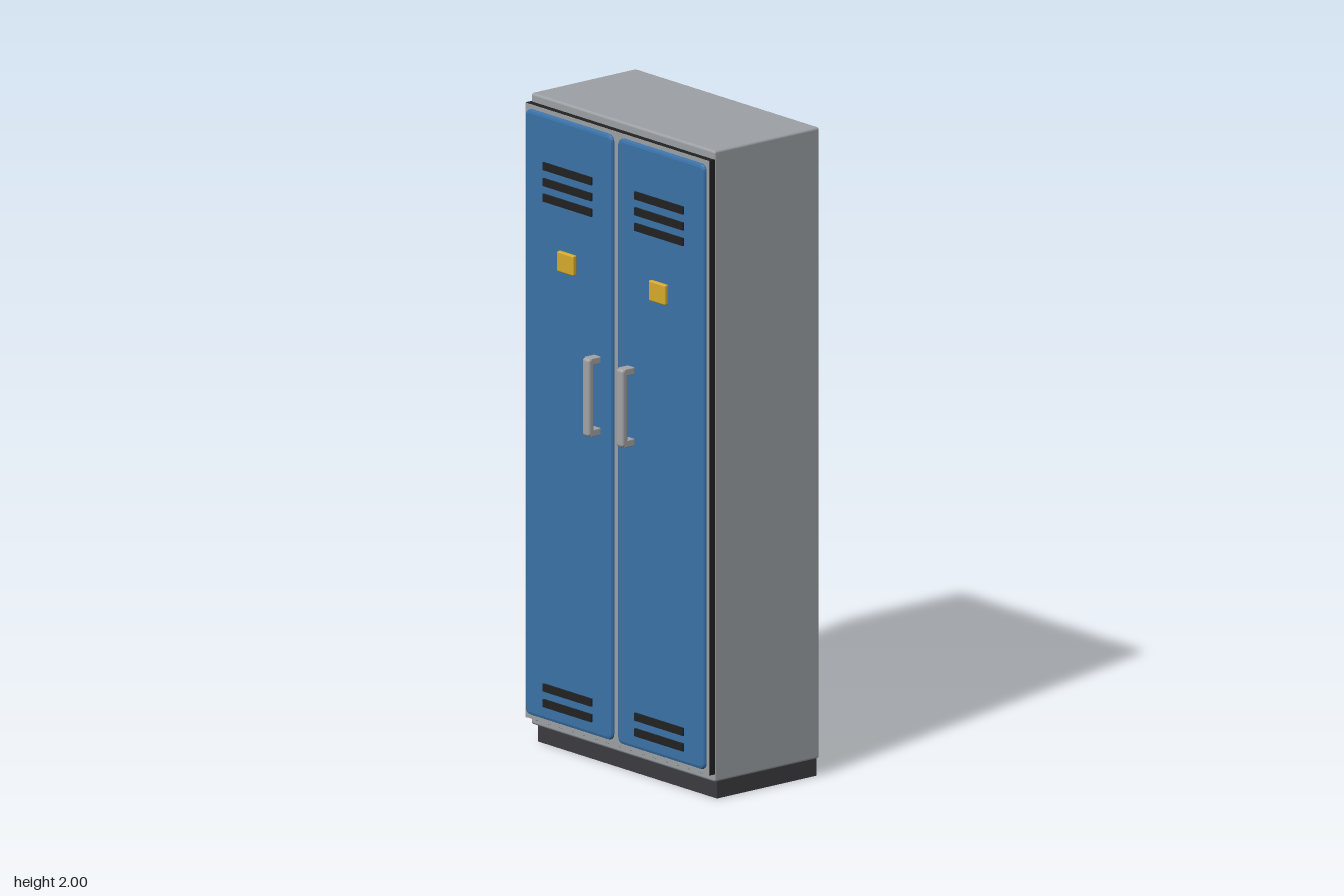
import * as THREE from 'three';
import { RoundedBoxGeometry } from 'three/addons/geometries/RoundedBoxGeometry.js';

const paint = (name, color) => {
  const m = new THREE.MeshStandardMaterial({ color });
  m.name = name;
  return m;
};

export function createModel() {
  const bodyGray = paint('body gray', 0x9ca1a5);
  const doorBlue = paint('door blue', 0x3a72a8);
  const slotBlack = paint('slot black', 0x222222);
  const baseDark = paint('base dark gray', 0x3c3c40);
  const steel = paint('handle steel', 0xa3a3a5);
  const brass = paint('plate yellow', 0xd6ab2c);

  const model = new THREE.Group();
  model.name = 'locker';

  // Box given by its min and max corners, optionally with softened edges
  const box = (parent, name, material, min, max, radius = 0) => {
    const size = max.map((v, i) => v - min[i]);
    const geometry = radius
      ? new RoundedBoxGeometry(...size, 2, radius)
      : new THREE.BoxGeometry(...size);
    const mesh = new THREE.Mesh(geometry, material);
    mesh.name = name;
    mesh.position.set(...max.map((v, i) => (v + min[i]) / 2));
    parent.add(mesh);
    return mesh;
  };

  // Carcass, plinth and front frame
  box(model, 'cabinet', bodyGray, [-0.421, 0.055, -0.245], [0.421, 2, 0.164], 0.008);
  box(model, 'plinth', baseDark, [-0.41, 0, -0.243], [0.41, 0.06, 0.145]);
  box(model, 'doorSeal', slotBlack, [-0.421, 0.08, 0.162], [0.421, 1.974, 0.183]);
  box(model, 'frameFace', bodyGray, [-0.42, 0.081, 0.183], [0.42, 1.973, 0.185]);

  // Door outline with rounded corners, bevelled toward the front
  const w = 0.397, h = 1.865, r = 0.012, bevel = 0.01;
  const doorShape = new THREE.Shape();
  const hw = w / 2 - bevel, hh = h / 2 - bevel;
  doorShape.moveTo(-hw + r, -hh);
  doorShape.lineTo(hw - r, -hh);
  doorShape.quadraticCurveTo(hw, -hh, hw, -hh + r);
  doorShape.lineTo(hw, hh - r);
  doorShape.quadraticCurveTo(hw, hh, hw - r, hh);
  doorShape.lineTo(-hw + r, hh);
  doorShape.quadraticCurveTo(-hw, hh, -hw, hh - r);
  doorShape.lineTo(-hw, -hh + r);
  doorShape.quadraticCurveTo(-hw, -hh, -hw + r, -hh);
  const doorGeometry = new THREE.ExtrudeGeometry(doorShape, {
    depth: 0.004, bevelEnabled: true, bevelSize: bevel,
    bevelThickness: 0.008, bevelSegments: 2, curveSegments: 4,
  });

  for (const side of [-1, 1]) {
    const door = new THREE.Group();
    door.name = side > 0 ? 'leftDoor' : 'rightDoor';
    model.add(door);

    const panel = new THREE.Mesh(doorGeometry, doorBlue);
    panel.name = 'doorPanel';
    panel.position.set(side * 0.2115, 1.0275, 0.185);
    door.add(panel);

    // Vent slots, three above and two below
    const cx = side * 0.21;
    for (const y of [1.802, 1.753, 1.705, 0.196, 0.148]) {
      box(door, 'ventSlot', slotBlack,
        [cx - 0.111, y - 0.012, 0.195], [cx + 0.111, y + 0.012, 0.203]);
    }

    // Number plate
    box(door, 'namePlate', brass,
      [cx - 0.038, 1.495, 0.195], [cx + 0.038, 1.558, 0.211], 0.005);

    // Pull handle: grip on two posts
    const hx = side * 0.077;
    box(door, 'handleGrip', steel,
      [hx - 0.016, 1.028, 0.219], [hx + 0.016, 1.27, 0.245], 0.01);
    for (const y of [1.028, 1.248]) {
      box(door, 'handlePost', steel,
        [hx - 0.016, y, 0.195], [hx + 0.016, y + 0.022, 0.234], 0.003);
    }
  }
  return model;
}
